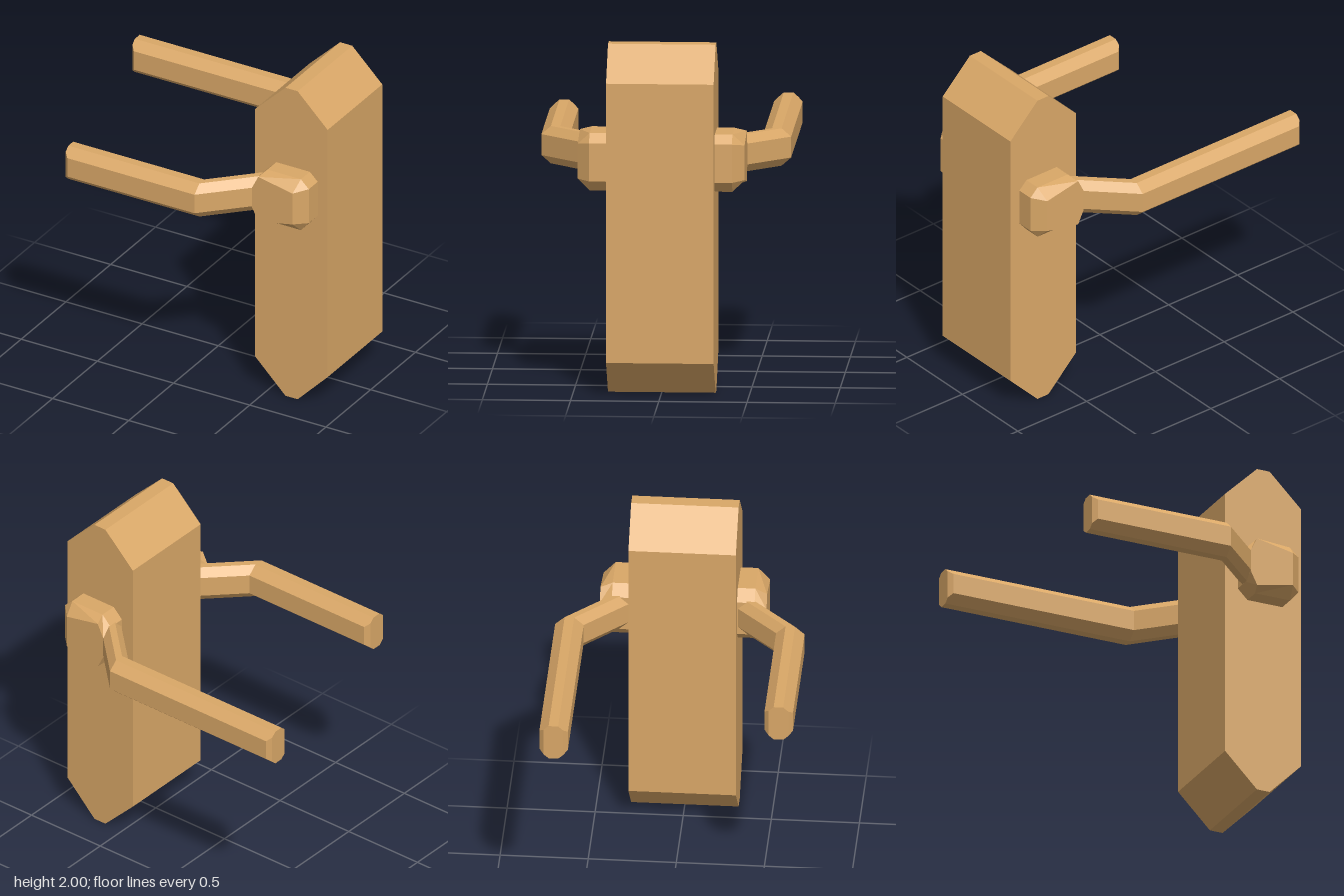
import * as THREE from 'three';

// Closed solid through matching rings of [x, y, z] points; flip reverses the winding for mirrored parts
function loft(rings, flip) {
  const n = rings[0].length, pos = [];
  const tri = (a, b, c) => pos.push(...a, ...(flip ? c : b), ...(flip ? b : c));
  for (let k = 0; k < rings.length - 1; k++) {
    for (let i = 0; i < n; i++) {
      const j = (i + 1) % n, r = rings[k], q = rings[k + 1];
      tri(r[i], r[j], q[j]);
      tri(r[i], q[j], q[i]);
    }
  }
  const first = rings[0], last = rings[rings.length - 1];
  for (let i = 1; i < n - 1; i++) {
    tri(first[0], first[i + 1], first[i]);
    tri(last[0], last[i], last[i + 1]);
  }
  const g = new THREE.BufferGeometry();
  g.setAttribute('position', new THREE.Float32BufferAttribute(pos, 3));
  g.computeVertexNormals();
  return g;
}

// Faceted collar between the plate and the lever, tapering to its outer face
function collar(s) {
  const base = [[0.5, 1.23], [0.56, 1.17], [0.78, 1.17], [0.832, 1.23],
    [0.832, 1.45], [0.78, 1.5], [0.56, 1.5], [0.5, 1.44]];
  const face = [[0.5, 1.27], [0.54, 1.19], [0.765, 1.235], [0.765, 1.235],
    [0.765, 1.435], [0.765, 1.435], [0.54, 1.48], [0.5, 1.4]];
  const at = (ring, z) => ring.map(([x, y]) => [x, y, s * z]);
  return loft([at(base, 0.3), at(base, 0.405), at(face, 0.473)], s < 0);
}

// Octagonal lever with a bevelled tip and one bend towards the collar
function lever(s, tipX) {
  const section = (x, z, halfZ = 0.081, sideY = 0.06) =>
    [[0.1075, -0.027], [0.1075, 0.027], [sideY, halfZ], [-sideY, halfZ],
      [-0.1075, 0.027], [-0.1075, -0.027], [-sideY, -halfZ], [sideY, -halfZ]]
      .map(([dy, dz]) => [x, 1.338 + dy, s * (z + dz)]);
  return loft([
    section(tipX, 0.627, 0.056, 0.082),
    section(tipX + 0.025, 0.627),
    section(0.26, 0.627),
    section(0.51, 0.382),
  ], s < 0);
}

export function createModel() {
  const model = new THREE.Group();
  model.name = 'doorHandle';
  const brass = new THREE.MeshStandardMaterial({ color: 0xd9a767, flatShading: true });
  brass.name = 'brass';
  const add = (name, geometry) => {
    const mesh = new THREE.Mesh(geometry, brass);
    mesh.name = name;
    model.add(mesh);
  };

  // Thick backplate with pointed, blunted ends
  const outline = new THREE.Shape([[0.42, 0.2], [0.62, 0], [0.7, 0], [0.897, 0.2],
    [0.897, 1.805], [0.7, 2], [0.62, 2], [0.42, 1.805]].map(p => new THREE.Vector2(...p)));
  const plate = new THREE.ExtrudeGeometry(outline, { depth: 0.61, bevelEnabled: false });
  plate.translate(0, 0, -0.305);
  add('backplate', plate);

  // A collar and lever on each side; the rear lever is longer
  for (const [side, s, tipX] of [['front', 1, -0.6], ['rear', -1, -0.9]]) {
    add(side + 'Collar', collar(s));
    add(side + 'Lever', lever(s, tipX));
  }
  return model;
}
